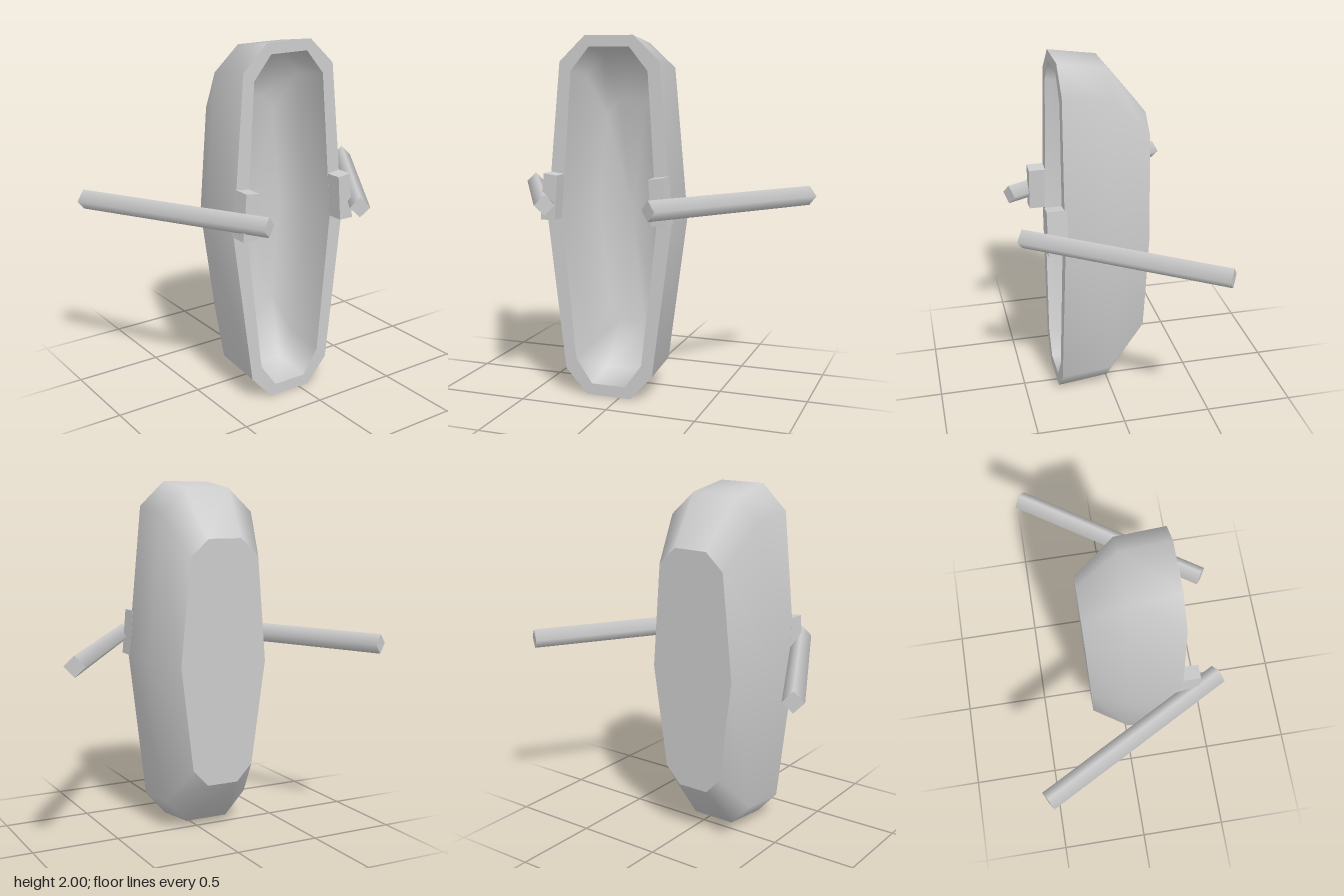
import * as THREE from 'three';

const CX = -0.065; // hull centre line
// Half outlines (half width, y), bottom to top
const OUTER = [[0.13, 0], [0.257, 0.14], [0.365, 1.0], [0.288, 1.86], [0.14, 2.0]];
const INNER = [[0.1, 0.065], [0.195, 0.2], [0.28, 1.0], [0.222, 1.81], [0.115, 1.94]];

// Closed ten-sided ring from a half outline, scaled about (CX, cy) and tilted in z
function ring(half, z, tilt, sx = 1, sy = 1, cy = 1) {
  const left = half.map(([w, y]) => [-w, y]).reverse();
  return [...half, ...left].map(([w, y]) => {
    const dy = (y - 1) * sy;
    return new THREE.Vector3(CX + w * sx, cy + dy, z - tilt * dy);
  });
}

// Smooth skin through a list of rings
function loft(rings) {
  const n = rings[0].length;
  const index = [];
  for (let i = 0; i < rings.length - 1; i++) {
    for (let j = 0; j < n; j++) {
      const a = i * n + j, b = i * n + (j + 1) % n;
      index.push(a, a + n, b, b, a + n, b + n);
    }
  }
  const g = new THREE.BufferGeometry().setFromPoints(rings.flat());
  g.setIndex(index);
  g.computeVertexNormals();
  return g;
}

export function createModel() {
  const model = new THREE.Group();
  model.name = 'rowingBoat';
  const material = new THREE.MeshStandardMaterial({ color: 0xcccccc });
  const add = (name, geometry, parent = model) => {
    const mesh = new THREE.Mesh(geometry, material);
    mesh.name = name;
    parent.add(mesh);
    return mesh;
  };

  // Hull: outer skin, flat bottom, rim and hollow inside
  const hull = new THREE.Group();
  hull.name = 'hull';
  model.add(hull);
  const rim = ring(OUTER, 0.2875, 0.0125);
  const bottom = ring(OUTER, -0.209, 0.0125, 0.726, 0.694, 0.993);
  const innerRim = ring(INNER, 0.2875, 0.0125);
  add('outerHull', loft([rim, ring(OUTER, 0.006, 0, 1, 0.963, 0.998), bottom]), hull);
  add('hullBottom', loft([bottom, ring(OUTER, -0.209, 0, 0, 0, 0.993)]), hull);
  add('gunwale', loft([innerRim, rim]), hull);
  add('innerHull', loft([
    ring(INNER, -0.09, 0, 0, 0, 0.993),
    ring(INNER, -0.09, 0.0125, 0.726, 0.694, 0.993),
    ring(INNER, 0.06, 0, 1, 0.963, 0.998),
    innerRim,
  ]), hull);

  // Oarlocks: slanted blocks that follow the gunwale
  for (const [side, name] of [[1, 'leftOarlock'], [-1, 'rightOarlock']]) {
    const shape = new THREE.Shape([[0.28, 1.0], [0.365, 1.0], [0.343, 1.257], [0.263, 1.247]]
      .map(([w, y]) => new THREE.Vector2(CX + side * w, y)));
    const block = add(name, new THREE.ExtrudeGeometry(shape, { depth: 0.11, bevelEnabled: false }));
    block.position.z = 0.27;
  }

  // Oars: four-sided bars standing on an edge
  const oar = (name, from, to) => {
    const a = new THREE.Vector3(...from), b = new THREE.Vector3(...to);
    const g = new THREE.CylinderGeometry(0.056, 0.056, a.distanceTo(b), 4);
    g.rotateX(Math.PI / 2);
    const mesh = add(name, g);
    mesh.position.copy(a).add(b).multiplyScalar(0.5);
    mesh.lookAt(b);
  };
  oar('leftOar', [0.243, 1.1, 0.513], [0.9, 1.09, -0.45]);
  oar('rightOar', [-0.35, 1.1, 0.5], [-0.9, 1.09, -0.525]);

  return model;
}
